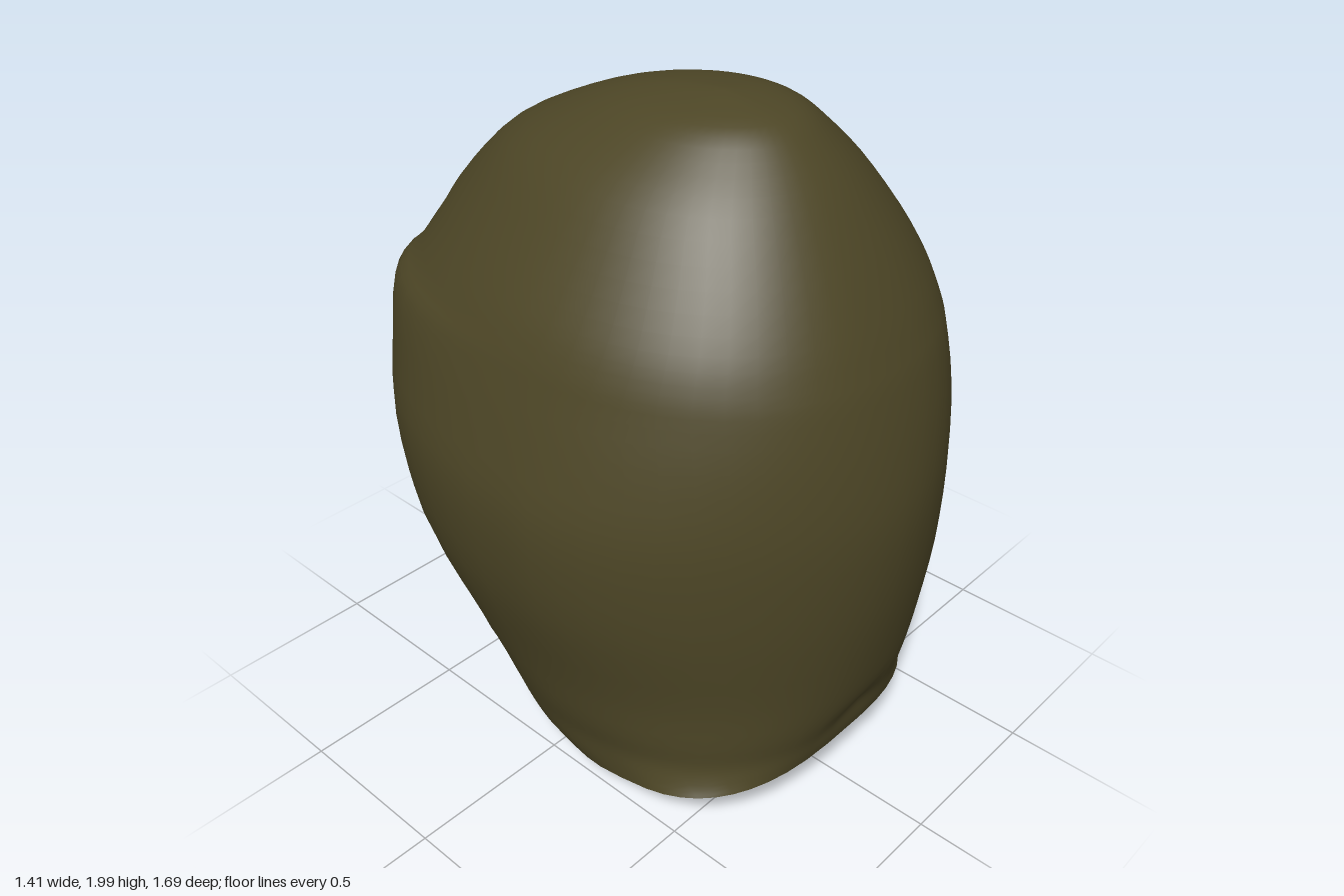
import * as THREE from 'three';

// Cross-sections from neck rim to crown:
// [y front, y back, z front, z back, x min, x max, opening x min, opening x max]
const SECTIONS = [
  [0.20, 0.01, 0.72, -0.12, -0.545, 0.485, -0.06, 0.14],
  [0.23, 0.03, 0.73, -0.33, -0.55, 0.50, -0.05, 0.14],
  [0.28, 0.10, 0.745, -0.51, -0.56, 0.52, -0.02, 0.12],
  [0.36, 0.20, 0.77, -0.60, -0.585, 0.56, -0.10, 0.21],
  [0.50, 0.40, 0.80, -0.71, -0.62, 0.64, -0.25, 0.30],
  [0.75, 0.70, 0.84, -0.80, -0.69, 0.70, -0.36, 0.41],
  [1.00, 1.00, 0.855, -0.835, -0.71, 0.70, -0.385, 0.43],
  [1.20, 1.20, 0.83, -0.85, -0.67, 0.685, -0.35, 0.39],
  [1.36, 1.37, 0.79, -0.87, -0.625, 0.655, -0.23, 0.22],
  [1.44, 1.44, 0.76, -0.82, -0.60, 0.63, -0.22, 0.22],
  [1.53, 1.53, 0.72, -0.75, -0.56, 0.595, -0.22, 0.22],
  [1.66, 1.66, 0.65, -0.64, -0.48, 0.52, -0.20, 0.20],
  [1.80, 1.80, 0.56, -0.48, -0.38, 0.41, -0.17, 0.17],
  [1.90, 1.90, 0.475, -0.28, -0.27, 0.30, -0.12, 0.12],
  [1.96, 1.96, 0.40, -0.11, -0.18, 0.21, -0.08, 0.08],
  [1.99, 1.99, 0.29, 0.05, -0.07, 0.12, -0.03, 0.04],
  [2.00, 2.00, 0.20, 0.20, 0, 0, 0, 0],
];
// Squareness of the back and front halves of each cross-section (2 is an ellipse)
const BACK = [2.5, 2.2, 1.9, 1.8, 1.95, 2.2, 2.3, 2.3, 2.2, 2.0, 1.9, 1.9, 2, 2, 2, 2, 2];
const FRONT = [2.8, 2.7, 2.5, 2.3, 2.1, 1.95, 1.92, 2.05, 2.2, 2.25, 2.25, 2.2, 2.1, 2, 2, 2, 2];
const RINGS = SECTIONS.map((section, i) => [...section, BACK[i], FRONT[i]]);

const STEPS = 3;              // rows between two cross-sections
const ARC = 44, GAP = 12;     // points round the front, and across the back opening
const HOLE_START = 2 * STEPS, HOLE_END = 8 * STEPS;

// Smooth blend between neighbouring cross-sections
function ringAt(row) {
  const last = RINGS.length - 1;
  const i = Math.min(Math.floor(row / STEPS), last - 1);
  const t = row / STEPS - i;
  const pick = k => RINGS[Math.max(0, Math.min(last, k))];
  const [a, b, c, d] = [pick(i - 1), pick(i), pick(i + 1), pick(i + 2)];
  return b.map((v, k) => v + 0.5 * t * (c[k] - a[k]
    + t * (2 * a[k] - 5 * v + 4 * c[k] - d[k] + t * (3 * (v - c[k]) + d[k] - a[k]))));
}

const bump = (v, centre, width) => Math.exp(-(((v - centre) / width) ** 2));

// Point on a cross-section; angle 0 is the back, positive angles go to +x
function pointOn([yF, yB, zF, zB, x0, x1, , , back, front], angle) {
  const s = Math.sin(angle), c = Math.cos(angle);
  const power = 2 / (c > 0 ? back : front);
  const round = v => Math.sign(v) * Math.abs(v) ** power;
  const cz = zB + (zF - zB) * 0.55;
  const x = round(s) * (s > 0 ? x1 : -x0);
  let z = cz + round(c) * (c > 0 ? zB - cz : cz - zF);
  const span = zF - zB;
  const y = span > 0.001 ? yF + (yB - yF) * Math.max(0, (zF - z) / span) ** 1.5 : yF;
  // Dip in the brow edge and a shallow tuck above the neck rim
  if (c > 0) z += 0.08 * bump(x, -0.08, 0.2) * bump(y, 1.37, 0.13);
  else z -= 0.02 * bump(x, 0, 0.1) * bump(y, 0.3, 0.06);
  return [x, Math.max(0, y), z];
}

// Angle at which the back of a cross-section reaches a given share of its half width
const edgeAngle = (x, halfWidth, back) =>
  halfWidth > 0.001 ? Math.asin(Math.min(1, x / halfWidth) ** (back / 2)) : 0.4;

function hoodGeometry() {
  const rows = (RINGS.length - 1) * STEPS, n = ARC + GAP;
  const pos = [], index = [];
  for (let r = 0; r <= rows; r++) {
    const ring = ringAt(r);
    const [, , , , x0, x1, g0, g1, back] = ring;
    const right = edgeAngle(Math.max(0, g1), x1, back);
    const left = -edgeAngle(Math.max(0, -g0), -x0, back);
    for (let k = 0; k < n; k++) {
      const angle = k <= ARC
        ? right + (left + 2 * Math.PI - right) * k / ARC
        : left + (right - left) * (k - ARC) / GAP;
      pos.push(...pointOn(ring, angle));
    }
  }
  for (let r = 0; r < rows; r++) {
    for (let k = 0; k < n; k++) {
      if (k >= ARC && r >= HOLE_START && r < HOLE_END) continue; // face opening
      const a = r * n + k, b = r * n + (k + 1) % n;
      index.push(a, a + n, b);
      if (r < rows - 1) index.push(b, a + n, b + n);
    }
  }
  const geo = new THREE.BufferGeometry();
  geo.setAttribute('position', new THREE.Float32BufferAttribute(pos, 3));
  geo.setIndex(index);
  geo.computeVertexNormals();
  // The crown point shares one upright normal
  const normal = geo.attributes.normal;
  for (let k = 0; k < n; k++) normal.setXYZ(rows * n + k, 0, 1, 0);
  return geo;
}

export function createModel() {
  const olive = new THREE.MeshStandardMaterial({ color: 0x4d4626, side: THREE.DoubleSide });
  olive.name = 'olive cloth';
  const hood = new THREE.Mesh(hoodGeometry(), olive);
  hood.name = 'hood';
  const group = new THREE.Group();
  group.name = 'openFaceHood';
  group.add(hood);
  return group;
}
